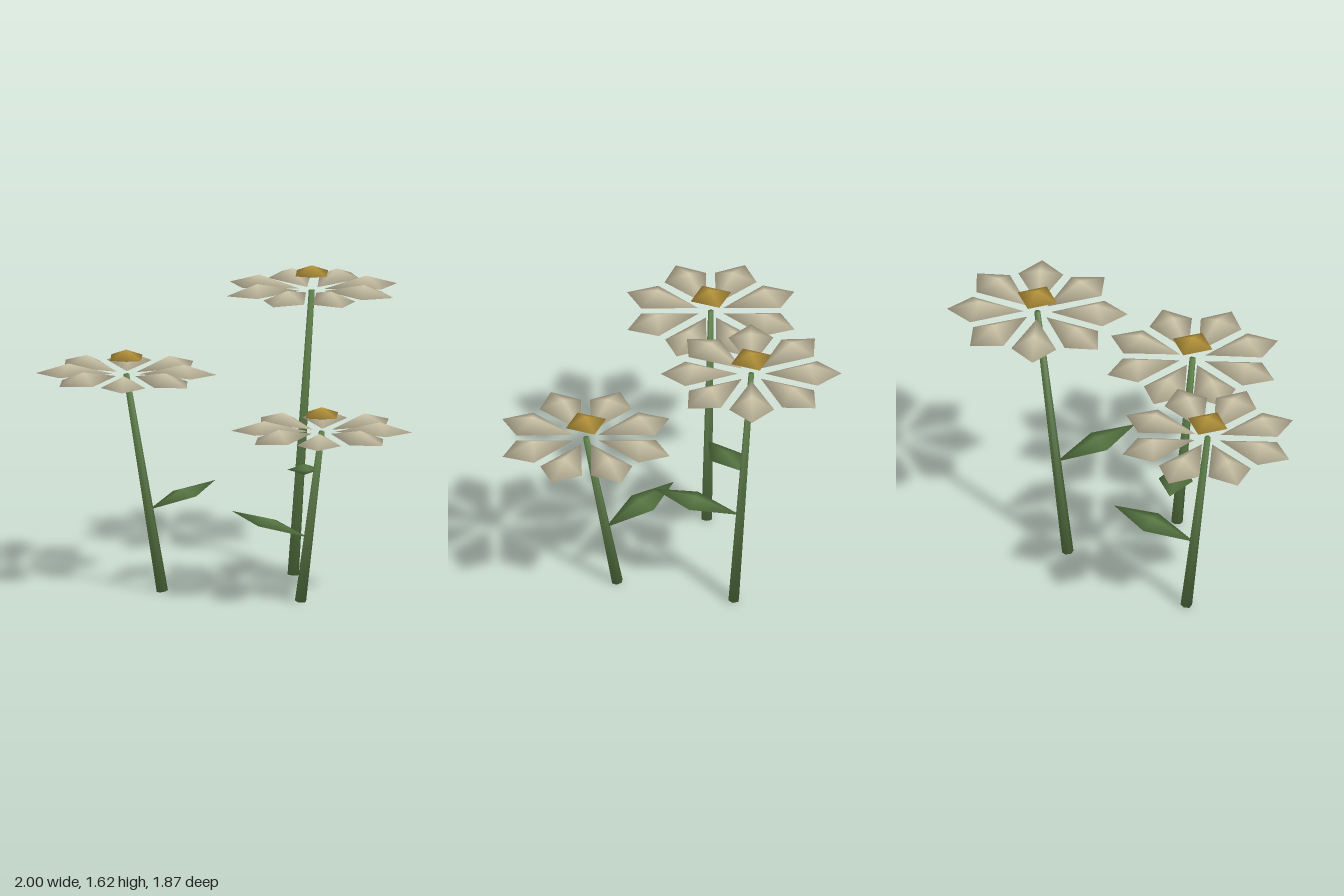
import * as THREE from 'three';
import { mergeVertices } from 'three/addons/utils/BufferGeometryUtils.js';

const V = (x, y, z) => new THREE.Vector3(x, y, z);

// Weld all corners and average the normals by corner angle, so shading runs softly over every edge
function weld(geometry) {
  geometry.deleteAttribute('uv');
  geometry.deleteAttribute('normal');
  const g = mergeVertices(geometry, 1e-4);
  const pos = g.attributes.position;
  const normals = Array.from({ length: pos.count }, () => V(0, 0, 0));
  for (let i = 0; i < g.index.count; i += 3) {
    const ids = [0, 1, 2].map((k) => g.index.getX(i + k));
    const p = ids.map((id) => V(0, 0, 0).fromBufferAttribute(pos, id));
    const n = new THREE.Triangle(...p).getNormal(V(0, 0, 0));
    ids.forEach((id, k) => {
      const a = p[(k + 1) % 3].clone().sub(p[k]);
      const b = p[(k + 2) % 3].clone().sub(p[k]);
      normals[id].addScaledVector(n, a.angleTo(b));
    });
  }
  const flat = normals.flatMap((n) => n.normalize().toArray());
  g.setAttribute('normal', new THREE.Float32BufferAttribute(flat, 3));
  return g;
}

// Closed solid: a ring of corners (counter-clockwise from above) with a peak above and below
function bipyramid(ring, top, bottom) {
  const pts = [];
  ring.forEach((a, i) => {
    const b = ring[(i + 1) % ring.length];
    pts.push(a, b, top, b, a, bottom);
  });
  return weld(new THREE.BufferGeometry().setFromPoints(pts));
}

// Kite-shaped blade lying along +x
function blade(start, end, wide, halfWidth, rise, top, bottom) {
  const y = rise * (wide - start) / (end - start);
  const ring = [V(start, 0, 0), V(wide, y, halfWidth), V(end, rise, 0), V(wide, y, -halfWidth)];
  return bipyramid(ring, V(top[0], top[1], 0), V(bottom[0], bottom[1], 0));
}

export function createModel() {
  const model = new THREE.Group();
  const paint = (name, color) => new THREE.MeshStandardMaterial({ name, color });
  const cream = paint('petal cream', 0xd0c7aa);
  const gold = paint('centre gold', 0xb8963c);
  const green = paint('stem green', 0x5a7a45);

  const petalGeo = blade(0.07, 0.47, 0.343, 0.117, 0, [0.3, 0.053], [0.3, -0.001]);
  const leafGeo = blade(0, 0.464, 0.25, 0.09, 0.09, [0.235, 0.075], [0.27, 0.025]);
  const r = 0.114;
  const centreGeo = bipyramid([V(r, 0, 0), V(0, 0, -r), V(-r, 0, 0), V(0, 0, r)], V(0, 0.043, 0), V(0, -0.022, 0));

  function add(parent, name, geo, mat) {
    const mesh = new THREE.Mesh(geo, mat);
    mesh.name = name;
    parent.add(mesh);
    return mesh;
  }

  // base and top of each stem, first petal angle, direction of the leaf (x, z)
  const flowers = [
    { name: 'leftFlower', base: V(-0.362, 0.005, -0.37), top: V(-0.53, 1.168, -0.464), turn: 0, leaf: [0.45, 0.003] },
    { name: 'frontFlower', base: V(0.008, 0.005, 0.29), top: V(0, 0.934, 0.463), turn: 0, leaf: [-0.136, -0.44] },
    { name: 'rightFlower', base: V(0.402, 0.005, -0.2), top: V(0.562, 1.492, -0.232), turn: Math.PI / 8, leaf: [-0.265, 0.353] },
  ];

  for (const f of flowers) {
    const flower = new THREE.Group();
    flower.name = f.name;
    model.add(flower);

    // Tapered leaning stem
    const axis = f.top.clone().sub(f.base);
    const stem = add(flower, 'stem', weld(new THREE.CylinderGeometry(0.016, 0.03, axis.length(), 6)), green);
    stem.position.copy(f.base).addScaledVector(axis, 0.5);
    stem.quaternion.setFromUnitVectors(V(0, 1, 0), axis.clone().normalize());

    // One rising leaf
    const leaf = add(flower, 'leaf', leafGeo, green);
    leaf.position.copy(f.base).addScaledVector(axis, 0.374);
    leaf.rotation.y = Math.atan2(-f.leaf[1], f.leaf[0]);

    // Level head: eight petals with the centre floating above
    const head = new THREE.Group();
    head.name = 'head';
    head.position.copy(f.top);
    flower.add(head);
    for (let i = 0; i < 8; i++) {
      add(head, 'petal', petalGeo, cream).rotation.y = f.turn + i * Math.PI / 4;
    }
    add(head, 'flowerCentre', centreGeo, gold).position.y = 0.087;
  }
  return model;
}
